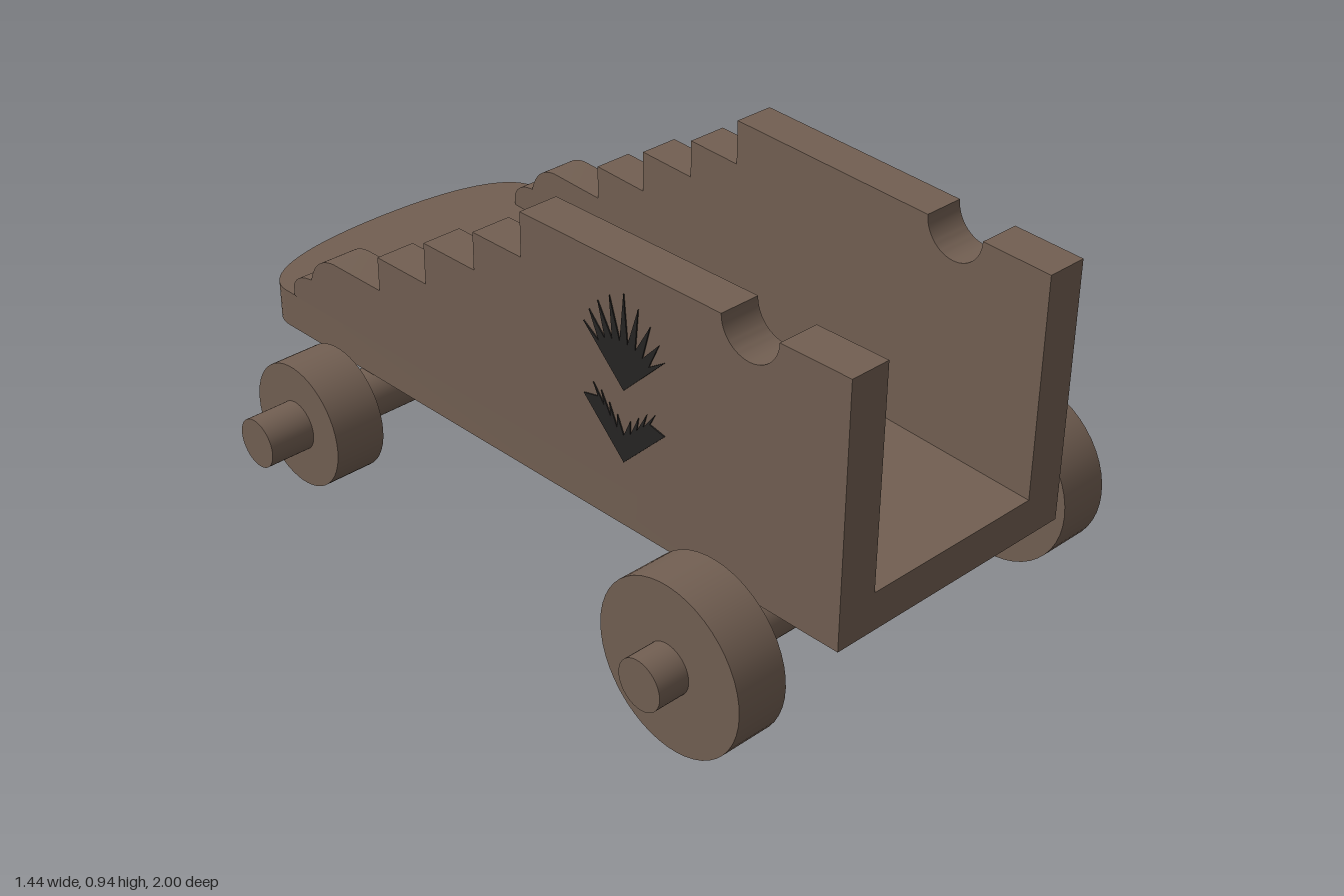
import * as THREE from 'three';
import { toCreasedNormals } from 'three/addons/utils/BufferGeometryUtils.js';

const wood = new THREE.MeshStandardMaterial({ color: 0x725f52 });
wood.name = 'brown wood';
const dark = new THREE.MeshStandardMaterial({ color: 0x262423 });
dark.name = 'dark carving';

const SHIFT = 0.008; // the body sits slightly to its left of the axles
const INNER = 0.247, THICK = 0.105, SLOPE = 0.033;

function addMesh(parent, name, geometry, material = wood) {
  const mesh = new THREE.Mesh(geometry, material);
  mesh.name = name;
  parent.add(mesh);
  return mesh;
}

// Upright plate drawn as (-z, y), splayed outward towards the back
function splayedPlate(shape, inner, thickness, side) {
  const geo = new THREE.ExtrudeGeometry(shape, { depth: thickness, bevelEnabled: false, curveSegments: 16 });
  geo.rotateY(Math.PI / 2);
  const p = geo.attributes.position;
  const start = side > 0 ? inner : -(inner + thickness);
  for (let i = 0; i < p.count; i++) {
    p.setX(i, p.getX(i) + start + side * SLOPE * (1 - p.getZ(i)));
  }
  return toCreasedNormals(geo, 0.5);
}

// Stepped cheek outline with a round trunnion notch
function cheekShape() {
  const s = new THREE.Shape();
  s.moveTo(-1, 0.38);
  s.lineTo(0.81, 0.38);
  s.lineTo(0.81, 0.41);
  s.quadraticCurveTo(0.795, 0.45, 0.735, 0.455);
  s.quadraticCurveTo(0.715, 0.53, 0.64, 0.537);
  const steps = [[0.465, 0.537], [0.465, 0.627], [0.29, 0.627], [0.29, 0.735],
    [0.115, 0.735], [0.115, 0.832], [-0.045, 0.832], [-0.045, 0.945], [-0.65, 0.945]];
  for (const [u, v] of steps) s.lineTo(u, v);
  s.absarc(-0.73, 0.945, 0.08, 0, Math.PI, true);
  s.lineTo(-1, 0.945);
  s.closePath();
  return s;
}

// Carved fan of radiating spikes
function upperFan() {
  const pts = [new THREE.Vector2(-0.37, 0.635)];
  const n = 8;
  for (let i = 0; i <= n * 2; i++) {
    const a = Math.PI * (0.25 + 0.5 * i / (2 * n));
    const middle = 1 - Math.abs(i / n - 1);
    const r = i % 2 ? 0.12 : 0.175 + 0.065 * middle;
    pts.push(new THREE.Vector2(-0.37 + r * Math.cos(a), 0.635 + r * Math.sin(a)));
  }
  return new THREE.Shape(pts);
}

// Carved chevron with teeth on its upper edge
function lowerFan() {
  const half = [[0.125, 0.125], [0.08, 0.135], [0.095, 0.165], [0.06, 0.12],
    [0.07, 0.155], [0.04, 0.1], [0.045, 0.135], [0.02, 0.08], [0.02, 0.115]];
  const pts = [[0, 0], ...half, [0, 0.07], ...half.map(([u, v]) => [-u, v]).reverse()];
  return new THREE.Shape(pts.map(([u, v]) => new THREE.Vector2(u - 0.37, v + 0.45)));
}

// Tapered bed with a rounded tail
function bedGeometry() {
  const s = new THREE.Shape();
  s.moveTo(-0.352, -1);
  s.lineTo(0.352, -1);
  s.lineTo(0.411, 0.85);
  s.bezierCurveTo(0.41, 0.95, 0.25, 1, 0, 1);
  s.bezierCurveTo(-0.25, 1, -0.41, 0.95, -0.411, 0.85);
  s.closePath();
  const geo = new THREE.ExtrudeGeometry(s, { depth: 0.1, bevelEnabled: false, curveSegments: 20 });
  geo.rotateX(-Math.PI / 2);
  geo.translate(0, 0.28, 0);
  return toCreasedNormals(geo, 0.5);
}

function crossCylinder(radius, length) {
  return new THREE.CylinderGeometry(radius, radius, length, 48).rotateZ(Math.PI / 2);
}

export function createModel() {
  const model = new THREE.Group();
  model.name = 'gunCarriage';

  // Bed and side cheeks
  const body = new THREE.Group();
  body.name = 'body';
  body.position.x = SHIFT;
  model.add(body);
  addMesh(body, 'bed', bedGeometry());
  for (const side of [1, -1]) {
    const label = side > 0 ? 'left' : 'right';
    addMesh(body, label + 'Cheek', splayedPlate(cheekShape(), INNER, THICK, side));
    const face = INNER + THICK - 0.002;
    addMesh(body, label + 'UpperCarving', splayedPlate(upperFan(), face, 0.005, side), dark);
    addMesh(body, label + 'LowerCarving', splayedPlate(lowerFan(), face, 0.005, side), dark);
  }

  // Axles with their wheels
  const axles = [
    { name: 'front', z: 0.74, y: 0.212, half: 0.662, radius: 0.212, wheelX: 0.52 },
    { name: 'rear', z: -0.54, y: 0.213, half: 0.722, radius: 0.16, wheelX: 0.543 },
  ];
  for (const a of axles) {
    const set = new THREE.Group();
    set.name = a.name + 'WheelSet';
    set.position.set(0, a.y, a.z);
    model.add(set);
    addMesh(set, a.name + 'Axle', crossCylinder(0.063, a.half * 2));
    for (const side of [1, -1]) {
      const wheel = addMesh(set, a.name + (side > 0 ? 'Left' : 'Right') + 'Wheel', crossCylinder(a.radius, 0.135));
      wheel.position.x = side * a.wheelX + SHIFT;
    }
  }
  return model;
}
